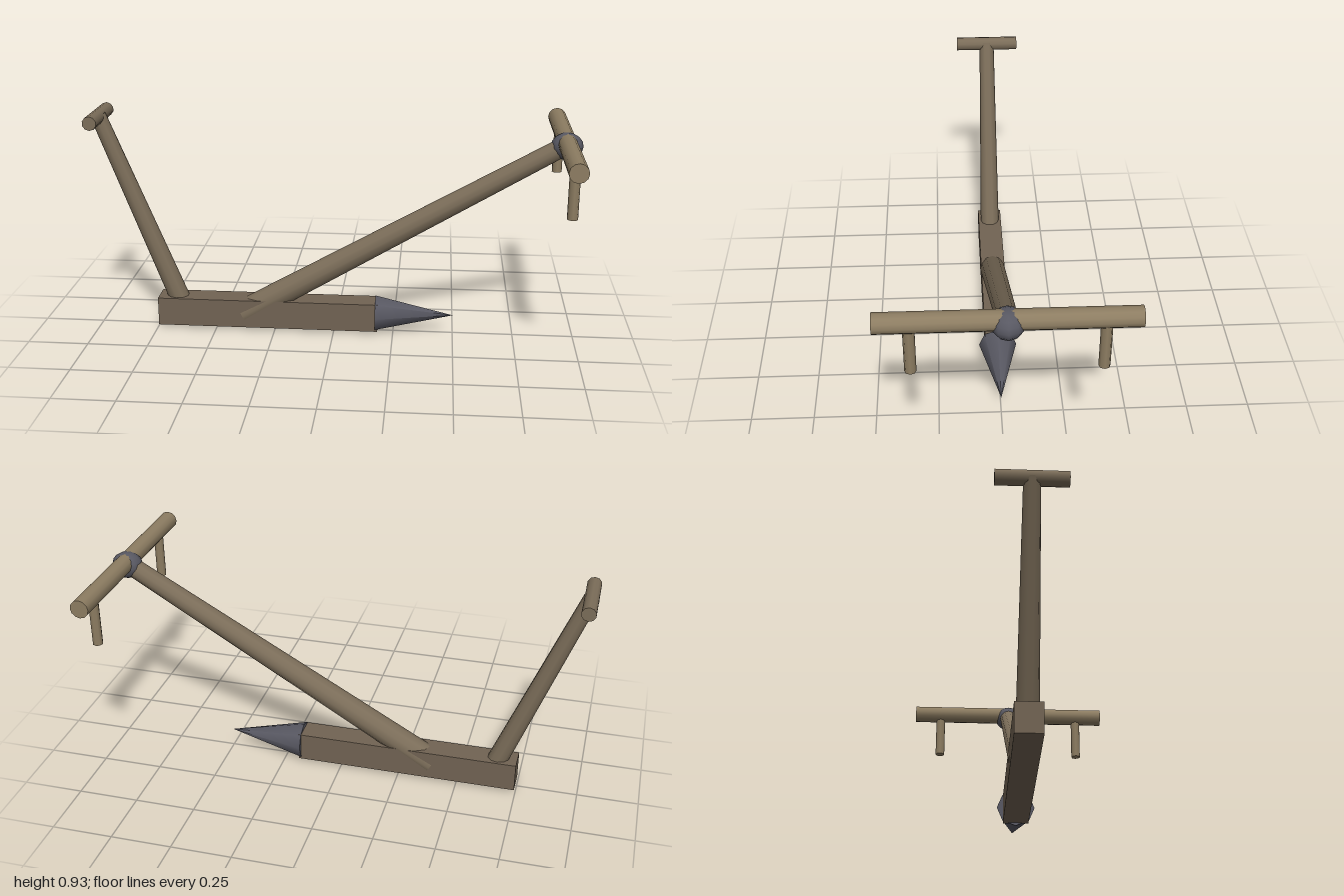
import * as THREE from 'three';

const mat = (color) => new THREE.MeshStandardMaterial({ color });

export function createModel() {
  const group = new THREE.Group();
  const darkWood = mat(0x716353), wood = mat(0x7b6d59), paleWood = mat(0x8d7d62), iron = mat(0x585862);

  const add = (name, geometry, material, x = 0, y = 0, z = 0) => {
    const mesh = new THREE.Mesh(geometry, material);
    mesh.name = name;
    mesh.position.set(x, y, z);
    group.add(mesh);
    return mesh;
  };

  // Round pole running from a (radius ra) to b (radius rb)
  const pole = (name, a, b, ra, rb, sides, material) => {
    const from = new THREE.Vector3(...a), to = new THREE.Vector3(...b);
    const dir = to.clone().sub(from);
    const mesh = add(name, new THREE.CylinderGeometry(rb, ra, dir.length(), sides), material);
    mesh.position.copy(from).add(to).multiplyScalar(0.5);
    mesh.quaternion.setFromUnitVectors(new THREE.Vector3(0, 1, 0), dir.normalize());
    return mesh;
  };

  // Sole lying along the ground, with a pointed share at its tip
  add('sole', new THREE.BoxGeometry(0.93, 0.12, 0.105), darkWood, -0.28, 0.075, 0);
  const share = add('share', new THREE.ConeGeometry(0.078, 0.325, 8), iron, 0.3375, 0.08, 0);
  share.rotation.z = -Math.PI / 2;

  // Long draught beam
  pole('beam', [-0.385, 0.064, 0], [0.93, 0.828, 0], 0.057, 0.039, 12, wood);

  // Steering stilt and its grip
  pole('stilt', [-0.645, 0.08, 0], [-0.97, 0.91, 0], 0.043, 0.032, 10, wood);
  pole('grip', [-0.97, 0.906, -0.135], [-0.97, 0.906, 0.135], 0.029, 0.029, 10, wood);

  // Yoke across the beam end, with its binding and neck pegs
  pole('yoke', [0.93, 0.838, -0.455], [0.93, 0.838, 0.455], 0.038, 0.038, 12, paleWood);
  add('binding', new THREE.SphereGeometry(1, 10, 8), iron, 0.93, 0.823, 0)
    .geometry.scale(0.065, 0.055, 0.06);
  for (const side of [-1, 1]) {
    pole('yokePeg', [0.93, 0.625, side * 0.333], [0.93, 0.815, side * 0.333], 0.021, 0.021, 8, paleWood);
  }
  return group;
}
